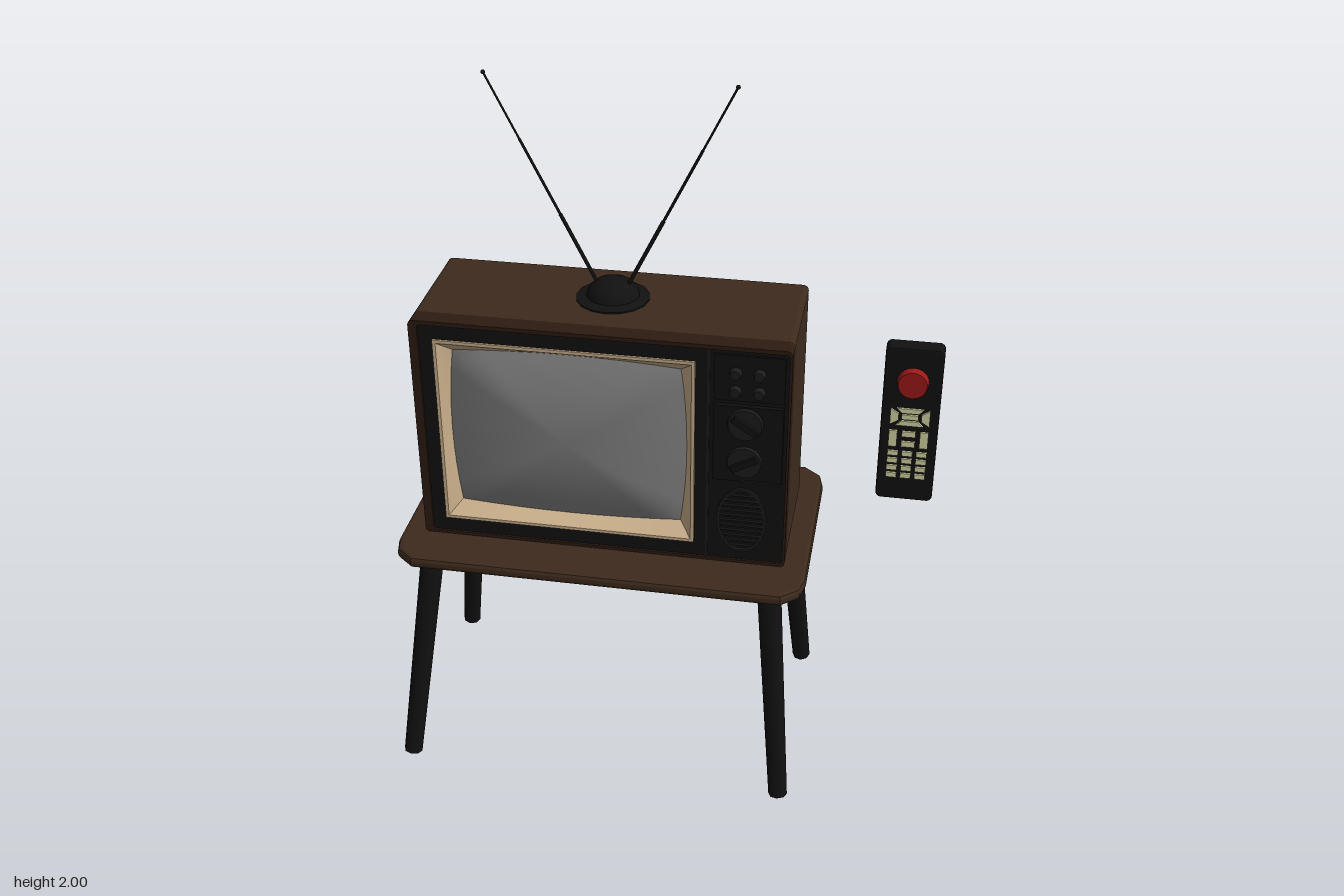
import * as THREE from 'three';
import { toCreasedNormals } from 'three/addons/utils/BufferGeometryUtils.js';

const mat = (color, extra = {}) => new THREE.MeshStandardMaterial({ color, ...extra });
const WOOD = mat(0x3d2a1d), RIM = mat(0x2c1b11), BLACK = mat(0x111111), DARK = mat(0x1c1c1c);
const CREAM = mat(0xcbb08c), GLASS = mat(0x808080), RED = mat(0xa01818), KEY = mat(0xd6d6a4);

function add(parent, name, geo, material, x = 0, y = 0, z = 0) {
  const mesh = new THREE.Mesh(geo, material);
  mesh.name = name;
  mesh.position.set(x, y, z);
  parent.add(mesh);
  return mesh;
}

function box(parent, name, m, x0, x1, y0, y1, z0, z1) {
  return add(parent, name, new THREE.BoxGeometry(x1 - x0, y1 - y0, z1 - z0), m,
    (x0 + x1) / 2, (y0 + y1) / 2, (z0 + z1) / 2);
}

// Rectangle outline with corners cut by arcs of radius r
function rectPath(x0, x1, y0, y1, r, Type = THREE.Shape) {
  const p = new Type();
  p.moveTo(x0 + r, y0);
  p.lineTo(x1 - r, y0); p.absarc(x1 - r, y0 + r, r, -Math.PI / 2, 0);
  p.lineTo(x1, y1 - r); p.absarc(x1 - r, y1 - r, r, 0, Math.PI / 2);
  p.lineTo(x0 + r, y1); p.absarc(x0 + r, y1 - r, r, Math.PI / 2, Math.PI);
  p.lineTo(x0, y0 + r); p.absarc(x0 + r, y0 + r, r, Math.PI, Math.PI * 1.5);
  return p;
}

function extrude(shape, depth, bevel = 0) {
  return new THREE.ExtrudeGeometry(shape, {
    depth, curveSegments: 4, bevelEnabled: bevel > 0, bevelSize: bevel,
    bevelOffset: -bevel, bevelThickness: bevel, bevelSegments: 2,
  });
}

// Closed rectangular ring whose sides bow outward by b
function ring(cx, cy, hw, hh, z, b = 0, n = 8) {
  const pts = [];
  const corners = [[-1, -1], [1, -1], [1, 1], [-1, 1]];
  corners.forEach(([ax, ay], i) => {
    const [bx, by] = corners[(i + 1) % 4];
    for (let k = 0; k < n; k++) {
      const t = k / n, u = ax + (bx - ax) * t, v = ay + (by - ay) * t;
      pts.push([cx + hw * u * (1 - b * v * v), cy + hh * v * (1 - b * u * u), z]);
    }
  });
  return pts;
}

// Skin between successive rings
function loft(rings, crease = 0.5) {
  const pos = [];
  for (let i = 0; i < rings.length - 1; i++) {
    const A = rings[i], B = rings[i + 1], n = A.length;
    for (let j = 0; j < n; j++) {
      const k = (j + 1) % n;
      pos.push(...A[j], ...A[k], ...B[k], ...A[j], ...B[k], ...B[j]);
    }
  }
  const g = new THREE.BufferGeometry();
  g.setAttribute('position', new THREE.Float32BufferAttribute(pos, 3));
  return toCreasedNormals(g, crease);
}

// Tapered rod between two points
function rod(parent, name, m, a, b, ra, rb, sides) {
  const A = new THREE.Vector3(...a), B = new THREE.Vector3(...b);
  const mesh = add(parent, name, new THREE.CylinderGeometry(rb, ra, A.distanceTo(B), sides), m);
  mesh.position.copy(A).add(B).multiplyScalar(0.5);
  mesh.quaternion.setFromUnitVectors(new THREE.Vector3(0, 1, 0), B.sub(A).normalize());
  return mesh;
}

// Disc-like part whose axis points to +z
function disc(parent, name, m, x, y, z0, z1, r0, r1, sides = 16) {
  const g = new THREE.CylinderGeometry(r1, r0, z1 - z0, sides).rotateX(Math.PI / 2);
  return add(parent, name, g, m, x, y, (z0 + z1) / 2);
}

function buildTable() {
  const g = new THREE.Group();
  g.name = 'table';
  const x0 = -0.725, x1 = 0.422, z0 = -0.296, z1 = 0.363, cx = 0.06, cz = 0.09;
  const top = new THREE.Shape([
    [x0 + cx, -z1], [x1 - cx, -z1], [x1 - 0.012, -z1 + 0.04], [x1, -z1 + cz],
    [x1, -z0 - cz], [x1 - 0.012, -z0 - 0.04], [x1 - cx, -z0],
    [x0 + cx, -z0], [x0 + 0.012, -z0 - 0.04], [x0, -z0 - cz],
    [x0, -z1 + cz], [x0 + 0.012, -z1 + 0.04],
  ].map(p => new THREE.Vector2(...p)));
  add(g, 'tableTop', extrude(top, 0.011, 0.012).rotateX(-Math.PI / 2), WOOD, 0, 0.692, 0);
  // splayed legs: [foot, top] along x and z
  for (const [fx, tx] of [[-0.715, -0.632], [0.378, 0.318]])
    for (const [fz, tz] of [[0.355, 0.252], [-0.29, -0.185]])
      rod(g, 'leg', BLACK, [fx, 0.003, fz], [tx, 0.69, tz], 0.027, 0.034, 8);
  return g;
}

function buildTelevision() {
  const g = new THREE.Group();
  g.name = 'television';
  // wooden cabinet with a rim around the front
  const outer = () => rectPath(-0.66, 0.357, 0.714, 1.386, 0.015);
  add(g, 'cabinet', extrude(outer(), 0.329, 0.004), WOOD, 0, 0, -0.155);
  const rim = outer();
  rim.holes.push(rectPath(-0.636, 0.35, 0.724, 1.374, 0.01, THREE.Path));
  add(g, 'cabinetRim', extrude(rim, 0.054), RIM, 0, 0, 0.174);
  const panel = rectPath(-0.636, 0.35, 0.724, 1.374, 0.01);
  panel.holes.push(rectPath(-0.597, 0.105, 0.768, 1.332, 0.002, THREE.Path));
  add(g, 'frontPanel', extrude(panel, 0.048), BLACK, 0, 0, 0.174);

  // sloping cream surround and domed glass
  const cx = -0.246, cy = 1.05;
  add(g, 'screenSurround', loft([
    ring(cx, cy, 0.351, 0.282, 0.215), ring(cx, cy, 0.351, 0.282, 0.228),
    ring(cx, cy, 0.342, 0.273, 0.228), ring(cx, cy, 0.325, 0.25, 0.19, 0.05),
  ]), CREAM);
  const glass = [];
  for (let i = 0; i <= 8; i++) {
    const k = 1 - i / 8;
    glass.push(ring(cx, cy, 0.327 * k, 0.252 * k, 0.188 + 0.046 * (1 - k * k), 0.05 * k));
  }
  add(g, 'screen', loft(glass, 1), GLASS);

  // tapered rear housing
  add(g, 'rearHousing', loft([
    ring(-0.15, 1.052, 0.402, 0.265, -0.157, 0, 1), ring(-0.152, 1.044, 0.243, 0.204, -0.355, 0, 1),
    ring(-0.152, 1.036, 0.208, 0.181, -0.38, 0, 1), ring(-0.152, 1.036, 0, 0, -0.38, 0, 1),
  ].map(r => r.reverse()), 0.1), BLACK);

  // control column: button plate, dial plate and speaker
  const c = new THREE.Group();
  c.name = 'controls';
  g.add(c);
  box(c, 'columnDivider', DARK, 0.137, 0.143, 0.726, 1.372, 0.22, 0.225);
  box(c, 'buttonPlate', BLACK, 0.155, 0.34, 1.228, 1.362, 0.22, 0.228);
  box(c, 'dialPlate', BLACK, 0.155, 0.34, 0.985, 1.215, 0.22, 0.234);
  box(c, 'plateTrim', DARK, 0.235, 0.32, 0.984, 0.99, 0.222, 0.237);
  for (const x of [0.213, 0.275])
    for (const y of [1.265, 1.318]) {
      disc(c, 'smallKnobStem', BLACK, x, y, 0.226, 0.242, 0.01, 0.01, 12);
      disc(c, 'smallKnob', DARK, x, y, 0.24, 0.257, 0.017, 0.013, 12);
    }
  for (const [y, tilt] of [[1.163, -0.6], [1.047, 0.5]]) {
    disc(c, 'dial', DARK, 0.24, y, 0.232, 0.242, 0.049, 0.045, 20);
    add(c, 'dialGrip', new THREE.BoxGeometry(0.076, 0.018, 0.012), BLACK, 0.24, y, 0.247).rotation.z = tilt;
  }
  const speaker = new THREE.Shape().absellipse(0.235, 0.855, 0.068, 0.102, 0, Math.PI * 2);
  speaker.holes.push(new THREE.Path().absellipse(0.235, 0.855, 0.06, 0.094, 0, Math.PI * 2));
  add(c, 'speakerRing', toCreasedNormals(new THREE.ExtrudeGeometry(speaker,
    { depth: 0.01, bevelEnabled: false, curveSegments: 16 }), 0.6), DARK, 0, 0, 0.22);
  for (let i = -5; i <= 5; i++) {
    const y = i * 0.016, w = 0.062 * Math.sqrt(1 - (y / 0.098) ** 2);
    box(c, 'speakerSlat', DARK, 0.235 - w, 0.235 + w, 0.851 + y, 0.859 + y, 0.22, 0.227);
  }
  return g;
}

function buildAntenna() {
  const g = new THREE.Group();
  g.name = 'antenna';
  const profile = [[0, 0], [0.1, 0], [0.1, 0.006], [0.072, 0.012], [0.066, 0.03], [0.05, 0.046], [0.028, 0.056], [0, 0.06]];
  const base = new THREE.LatheGeometry(profile.map(p => new THREE.Vector2(...p)), 16);
  add(g, 'antennaBase', toCreasedNormals(base, 0.6), BLACK, -0.154, 1.384, 0.006);
  for (const [bx, tx] of [[-0.19, -0.48], [-0.118, 0.173]]) {
    // telescoping sections, each thinner than the last
    const at = t => [bx + (tx - bx) * t, 1.415 + 0.58 * t, 0.006];
    [[0, 0.35, 0.0055], [0.35, 0.7, 0.004], [0.7, 1, 0.003]].forEach(([a, b, r]) =>
      rod(g, 'antennaRod', BLACK, at(a), at(b), r, r, 8));
    add(g, 'antennaTip', new THREE.SphereGeometry(0.006, 8, 6), BLACK, ...at(0.998));
  }
  return g;
}

function buildRemote() {
  const g = new THREE.Group();
  g.name = 'remoteControl';
  const cx = 0.661;
  add(g, 'remoteBody', extrude(rectPath(0.585, 0.737, 0.897, 1.36, 0.015), 0.04, 0.005), BLACK, 0, 0, 0.067);
  disc(g, 'powerButton', RED, cx, 1.263, 0.11, 0.133, 0.042, 0.038, 20);
  // direction pad: trapezoid keys around an oblong centre key
  const pad = (pts) => new THREE.Shape(pts.map(p => new THREE.Vector2(...p)));
  for (const s of [1, -1]) {
    const across = add(g, 'padKey', extrude(pad([[-0.022, 0.012], [0.022, 0.012], [0.036, 0.026], [-0.036, 0.026]]), 0.008), KEY, cx, 1.158, 0.11);
    const side = add(g, 'padKey', extrude(pad([[0.03, -0.01], [0.052, -0.024], [0.052, 0.024], [0.03, 0.01]]), 0.008), KEY, cx, 1.158, 0.11);
    if (s < 0) across.rotation.z = side.rotation.z = Math.PI;
  }
  box(g, 'padCentre', KEY, cx - 0.022, cx + 0.022, 1.151, 1.165, 0.11, 0.118);
  // two tall rocker keys beside a stack of small ones
  for (const s of [-1, 1])
    box(g, 'rockerKey', KEY, cx + s * 0.041 - 0.011, cx + s * 0.041 + 0.011, 1.066, 1.115, 0.11, 0.118);
  for (const y of [1.106, 1.075])
    box(g, 'middleKey', KEY, cx - 0.018, cx + 0.018, y - 0.008, y + 0.008, 0.11, 0.118);
  // number keys
  for (let r = 0; r < 4; r++)
    for (let k = -1; k <= 1; k++) {
      const x = cx + k * 0.038, y = 1.045 - r * 0.023;
      box(g, 'numberKey', KEY, x - 0.014, x + 0.014, y - 0.007, y + 0.007, 0.11, 0.118);
    }
  return g;
}

export function createModel() {
  const model = new THREE.Group();
  model.name = 'televisionSet';
  model.add(buildTable(), buildTelevision(), buildAntenna(), buildRemote());
  return model;
}
